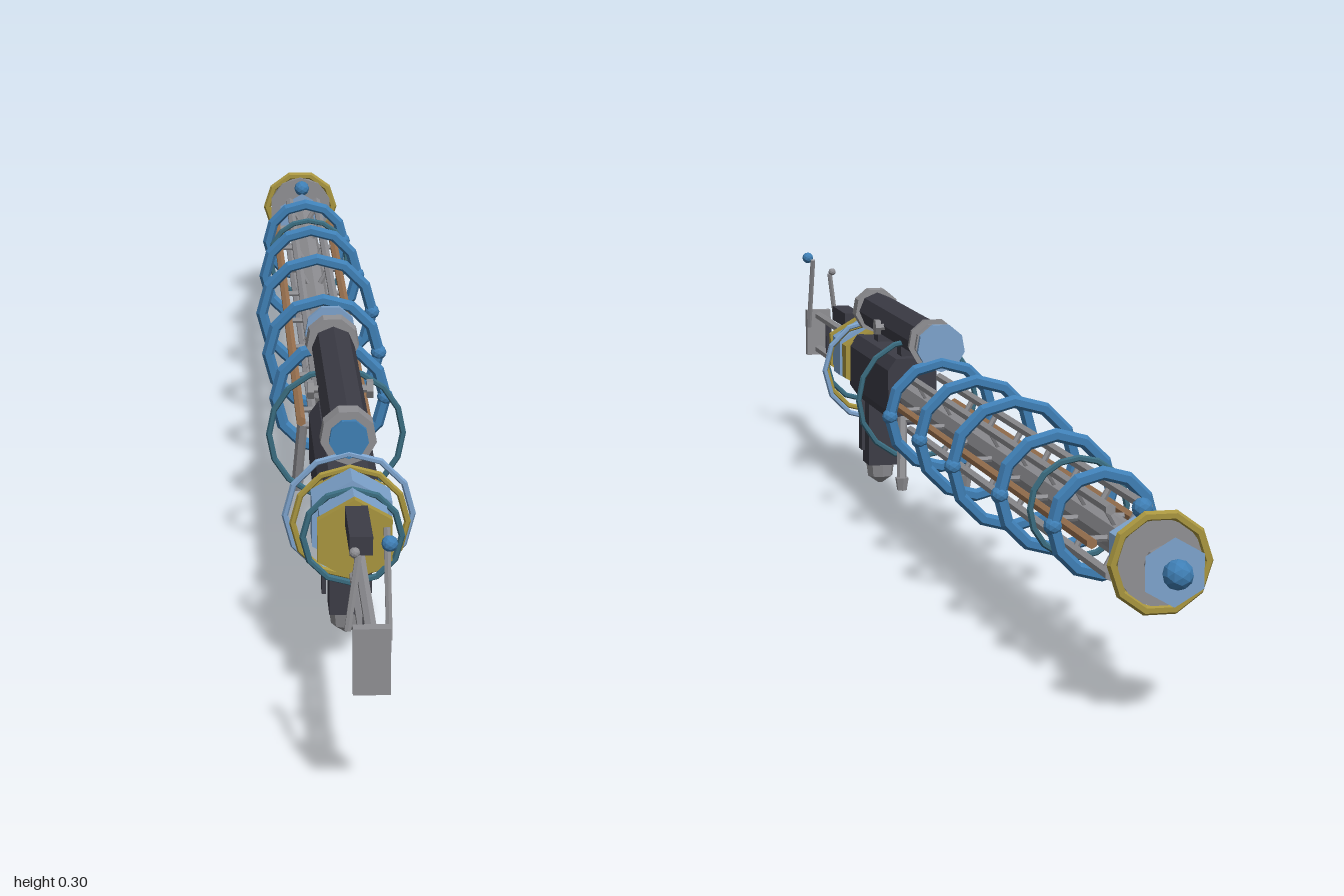
import * as THREE from 'three';

const COLORS = { grey: 0x8f8f93, dark: 0x3c3c46, blue: 0x3f7fb5, pale: 0x7da3cc, yellow: 0xa8953f, copper: 0x9a7250, teal: 0x3a6c80 };
const AXIS = 0.168; // height of the barrel axis

export function createModel() {
  const root = new THREE.Group();
  const mats = {};
  for (const [k, color] of Object.entries(COLORS)) {
    mats[k] = new THREE.MeshStandardMaterial({ color, flatShading: true });
  }
  const add = (name, geo, mat, x = 0, y = 0, z = 0) => {
    const mesh = new THREE.Mesh(geo, mats[mat]);
    mesh.name = name;
    mesh.position.set(x, y, z);
    root.add(mesh);
    return mesh;
  };
  // prism or cone along z: rBack at z0 (larger z), rFront at z1
  const tubeZ = (name, mat, rBack, rFront, z0, z1, x = 0, y = AXIS, sides = 8) =>
    add(name, new THREE.CylinderGeometry(rBack, rFront, z0 - z1, sides).rotateX(Math.PI / 2), mat, x, y, (z0 + z1) / 2);
  const ringZ = (name, mat, r, tube, z, y = AXIS, seg = 12) =>
    add(name, new THREE.TorusGeometry(r, tube, 6, seg), mat, 0, y, z);
  const box = (name, mat, w, h, d, x, y, z) => add(name, new THREE.BoxGeometry(w, h, d), mat, x, y, z);
  const ball = (name, mat, r, x, y, z) => add(name, new THREE.IcosahedronGeometry(r, 1), mat, x, y, z);
  const rod = (name, mat, r, a, b, sides = 6) => {
    const p = new THREE.Vector3(...a), q = new THREE.Vector3(...b);
    const m = add(name, new THREE.CylinderGeometry(r, r, p.distanceTo(q), sides), mat);
    m.position.copy(p).add(q).multiplyScalar(0.5);
    m.quaternion.setFromUnitVectors(new THREE.Vector3(0, 1, 0), q.sub(p).normalize());
  };

  // Skeleton stock
  box('buttPlate', 'grey', 0.04, 0.075, 0.014, 0, 0.168, 0.993);
  rod('upperStockRod', 'grey', 0.007, [0, 0.196, 0.66], [0, 0.196, 0.99]);
  rod('lowerStockRod', 'grey', 0.007, [0, 0.14, 0.66], [0, 0.14, 0.99]);
  rod('stockStrut', 'dark', 0.005, [0, 0.14, 0.905], [0, 0.196, 0.905]);
  box('cheekRest', 'dark', 0.026, 0.022, 0.1, 0, 0.224, 0.755);

  // Antennas over the butt, with loose beads
  rod('leftAntenna', 'grey', 0.004, [0.02, 0.18, 0.97], [0.019, 0.295, 0.937]);
  rod('rightAntenna', 'grey', 0.004, [-0.024, 0.19, 0.965], [-0.012, 0.27, 0.953]);
  ball('leftBead', 'blue', 0.009, 0.019, 0.294, 0.982);
  ball('rightBead', 'grey', 0.006, -0.016, 0.273, 0.952);

  // Rear collar
  tubeZ('collarCap', 'yellow', 0.05, 0.05, 0.68, 0.668, 0, 0.183, 6);
  tubeZ('collarRear', 'pale', 0.046, 0.046, 0.668, 0.625, 0, 0.183, 6);
  tubeZ('collarMiddle', 'pale', 0.054, 0.054, 0.625, 0.578, 0, 0.183, 6);
  tubeZ('collarFront', 'yellow', 0.05, 0.05, 0.578, 0.55, 0, 0.18, 6);
  ringZ('collarRing', 'teal', 0.058, 0.004, 0.625);
  ringZ('collarRing', 'yellow', 0.068, 0.004, 0.577);
  ringZ('collarRing', 'pale', 0.076, 0.004, 0.55);

  // Receiver with chamfered section
  const section = new THREE.Shape([[-0.022, 0.125], [0.022, 0.125], [0.036, 0.145], [0.036, 0.205], [0.024, 0.222],
    [-0.024, 0.222], [-0.036, 0.205], [-0.036, 0.145]].map(p => new THREE.Vector2(...p)));
  add('receiver', new THREE.ExtrudeGeometry(section, { depth: 0.275, bevelEnabled: false }), 'dark', 0, 0, 0.28);
  for (const s of [-1, 1]) {
    const bolt = add('receiverBolt', new THREE.CylinderGeometry(0.012, 0.012, 0.008, 6), 'grey', s * 0.037, 0.26, 0.35);
    bolt.rotation.z = Math.PI / 2;
    rod('boltPin', 'grey', 0.005, [s * 0.037, 0.26, 0.35], [s * 0.02, 0.26, 0.35]);
  }

  // Grip
  box('grip', 'dark', 0.044, 0.1, 0.045, 0, 0.08, 0.505);
  for (const s of [-1, 1]) box('gripPanel', 'dark', 0.005, 0.075, 0.02, s * 0.028, 0.09, 0.505);
  add('pommel', new THREE.CylinderGeometry(0.022, 0.019, 0.023, 8), 'grey', 0, 0.0225, 0.505);
  add('pommelTip', new THREE.CylinderGeometry(0.019, 0.003, 0.011, 8), 'grey', 0, 0.0055, 0.505);

  // Scope
  const SY = 0.262;
  tubeZ('scopeTube', 'dark', 0.028, 0.028, 0.54, 0.18, 0, SY);
  tubeZ('eyeRing', 'grey', 0.034, 0.034, 0.545, 0.52, 0, SY, 9);
  tubeZ('eyeLens', 'blue', 0.024, 0.024, 0.552, 0.54, 0, SY, 9);
  tubeZ('frontBell', 'grey', 0.034, 0.036, 0.162, 0.146, 0, SY, 9);
  tubeZ('bellRing', 'grey', 0.03, 0.03, 0.138, 0.13, 0, SY, 9);
  tubeZ('scopeCore', 'dark', 0.01, 0.01, 0.19, 0.1, 0, SY);
  tubeZ('frontLens', 'pale', 0.034, 0.034, 0.106, 0.098, 0, SY, 9);
  for (const z of [0.48, 0.32]) box('scopeMount', 'dark', 0.022, 0.03, 0.03, 0, 0.227, z);

  // Bipod
  for (const s of [-1, 1]) {
    rod('bipodLeg', 'grey', 0.007, [s * 0.04, 0.155, 0.17], [s * 0.046, 0.072, 0.148]);
    add('bipodFoot', new THREE.CylinderGeometry(0.01, 0.007, 0.018, 6), 'grey', s * 0.046, 0.064, 0.146);
  }
  rod('bipodPin', 'grey', 0.005, [-0.042, 0.152, 0.168], [0.042, 0.152, 0.168]);

  // Barrel and the six rods round it
  tubeZ('barrel', 'grey', 0.021, 0.019, 0.3, -0.94, 0, AXIS, 8);
  for (let i = 0; i < 6; i++) {
    const a = i * Math.PI / 3;
    const side = i % 3 === 0;
    tubeZ(side ? 'sideRod' : 'barrelRod', side ? 'copper' : 'grey', 0.0065, 0.0065, 0.2, -0.805,
      0.043 * Math.cos(a), AXIS + 0.043 * Math.sin(a), 6);
  }
  for (const z of [0.15, 0, -0.13, -0.26, -0.4, -0.53, -0.66, -0.78]) {
    rod('rodBrace', 'grey', 0.004, [-0.043, AXIS, z], [0.043, AXIS, z]);
    for (const s of [-1, 1]) rod('rodBrace', 'grey', 0.004, [-s * 0.0215, AXIS - 0.037, z], [s * 0.0215, AXIS + 0.037, z]);
  }

  // Coil rings, each with a bead on the left
  for (const [z, r] of [[0.1, 0.073], [-0.1, 0.077], [-0.3, 0.08], [-0.5, 0.07], [-0.7, 0.059]]) {
    ringZ('coilRing', 'blue', r, 0.0085, z);
    ball('coilBead', 'blue', 0.011, r, AXIS, z);
  }
  ringZ('thinRing', 'teal', 0.086, 0.004, 0.25, AXIS, 16);
  ringZ('thinRing', 'teal', 0.059, 0.004, -0.6, AXIS, 16);

  // Muzzle
  ball('sightBead', 'blue', 0.012, 0, 0.215, -0.853);
  rod('sightPost', 'grey', 0.004, [0, 0.17, -0.853], [0, 0.215, -0.853]);
  tubeZ('muzzleFlareRear', 'pale', 0.04, 0.02, -0.843, -0.905, 0, AXIS, 6);
  tubeZ('muzzleDisc', 'grey', 0.05, 0.05, -0.91, -0.922, 0, AXIS, 10);
  ringZ('muzzleRing', 'yellow', 0.054, 0.006, -0.92, AXIS, 10);
  tubeZ('muzzleFlareFront', 'pale', 0.018, 0.038, -0.925, -0.972, 0, AXIS, 6);
  ball('muzzleBall', 'blue', 0.017, 0, AXIS, -0.983);

  return root;
}
